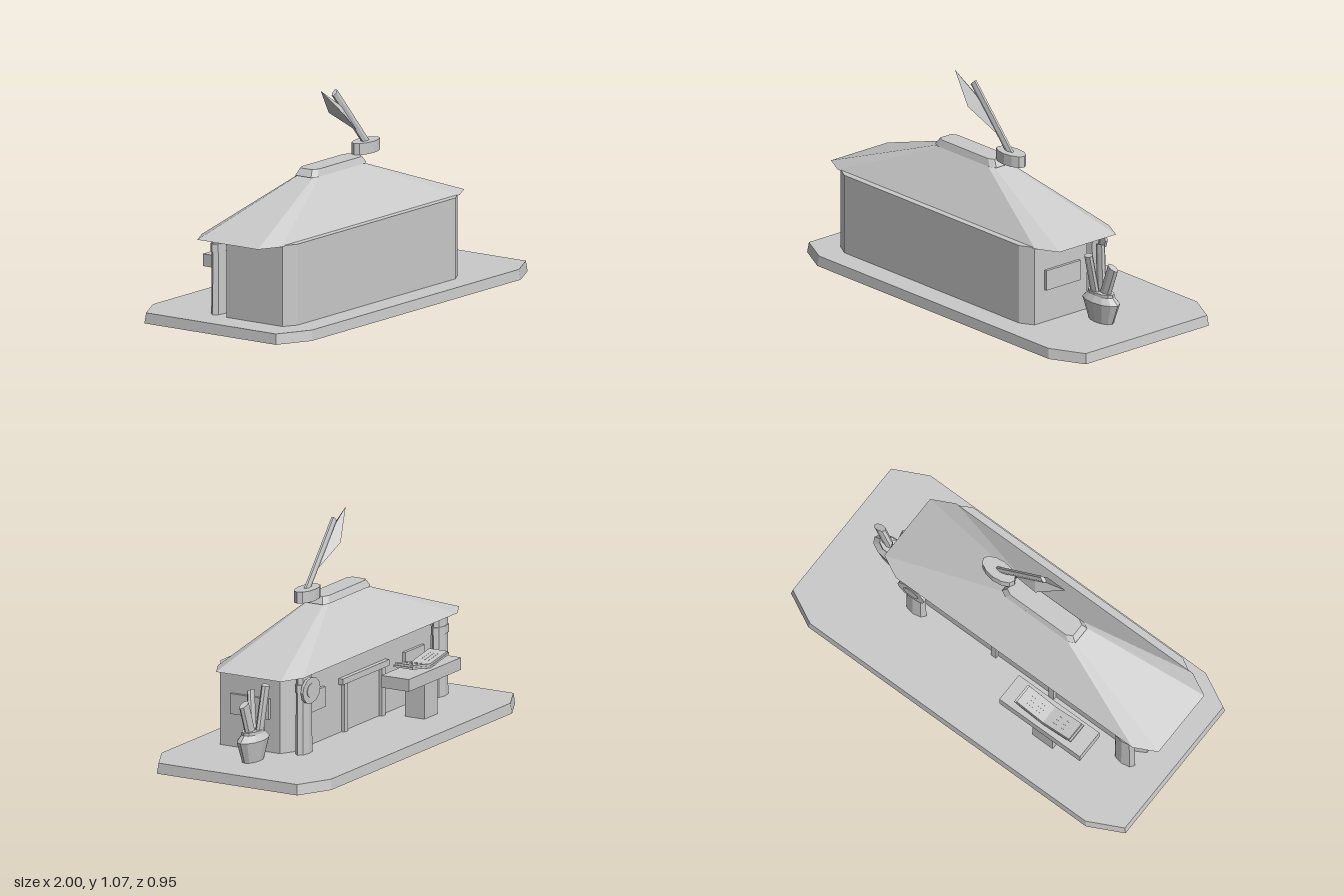
import * as THREE from 'three';

const stone = new THREE.MeshStandardMaterial({ color: 0xcacaca, flatShading: true, side: THREE.DoubleSide });
stone.name = 'light grey';

const SQUASH = 0.5; // round parts are flattened front to back

function add(parent, name, geometry, x = 0, y = 0, z = 0) {
  const mesh = new THREE.Mesh(geometry, stone);
  mesh.name = name;
  mesh.position.set(x, y, z);
  parent.add(mesh);
  return mesh;
}

// Box given by its limits on each axis
function box(parent, name, x0, x1, y0, y1, z0, z1) {
  return add(parent, name, new THREE.BoxGeometry(x1 - x0, y1 - y0, z1 - z0),
    (x0 + x1) / 2, (y0 + y1) / 2, (z0 + z1) / 2);
}

// Closed solid through rectangles with cut corners: [y, x0, x1, z0, z1, cutX, cutZ]
function loft(sections) {
  const pos = [], index = [];
  for (const [y, x0, x1, z0, z1, cx, cz] of sections) {
    pos.push(x0, y, z1 - cz, x0 + cx, y, z1, x1 - cx, y, z1, x1, y, z1 - cz,
      x1, y, z0 + cz, x1 - cx, y, z0, x0 + cx, y, z0, x0, y, z0 + cz);
  }
  for (let s = 0; s < sections.length - 1; s++) {
    for (let i = 0; i < 8; i++) {
      const a = s * 8 + i, b = s * 8 + (i + 1) % 8;
      index.push(a, b, b + 8, a, b + 8, a + 8);
    }
  }
  const top = (sections.length - 1) * 8;
  for (let i = 1; i < 7; i++) {
    index.push(0, i + 1, i, top, top + i, top + i + 1);
  }
  const g = new THREE.BufferGeometry();
  g.setAttribute('position', new THREE.Float32BufferAttribute(pos, 3));
  g.setIndex(index);
  g.computeVertexNormals();
  return g;
}

// Straight rod between two points
function rod(parent, name, from, to, radius, sides = 6) {
  const a = new THREE.Vector3(...from), b = new THREE.Vector3(...to);
  const dir = b.clone().sub(a);
  const mesh = add(parent, name, new THREE.CylinderGeometry(radius, radius, dir.length(), sides));
  mesh.position.copy(a.add(b).multiplyScalar(0.5));
  mesh.quaternion.setFromUnitVectors(new THREE.Vector3(0, 1, 0), dir.normalize());
  return mesh;
}

function squashedGroup(parent, name, x, y, z) {
  const g = new THREE.Group();
  g.name = name;
  g.position.set(x, y, z);
  g.scale.z = SQUASH;
  parent.add(g);
  return g;
}

export function createModel() {
  const model = new THREE.Group();
  model.name = 'house';

  // Ground slab, walls, hipped roof and ridge cap
  add(model, 'base', loft([
    [0, -1, 1, -0.476, 0.476, 0.17, 0.086],
    [0.051, -0.993, 0.993, -0.471, 0.471, 0.17, 0.086]]));
  add(model, 'walls', loft([
    [0.05, -0.845, 0.545, -0.057, 0.352, 0.068, 0.038],
    [0.445, -0.845, 0.545, -0.057, 0.352, 0.068, 0.038]]));
  add(model, 'roof', loft([
    [0.442, -0.973, 0.666, -0.153, 0.32, 0.112, 0.057],
    [0.668, -0.345, 0.037, 0.03, 0.142, 0.025, 0.014]]));
  add(model, 'ridgeCap', loft([
    [0.666, -0.374, 0.064, 0.021, 0.147, 0.03, 0.016],
    [0.7, -0.35, 0.041, 0.034, 0.136, 0.03, 0.016]]));

  // Roof ornament: disc, stalk and folded feather blade
  const well = squashedGroup(model, 'roofOrnamentBase', 0.121, 0.728, 0.087);
  add(well, 'disc', new THREE.CylinderGeometry(0.094, 0.094, 0.056, 12));
  const quill = squashedGroup(model, 'quill', 0, 0, 0.09);
  rod(quill, 'stalk', [0.125, 0.74, 0], [-0.14, 1.035, 0.01], 0.022);
  const feather = new THREE.BufferGeometry();
  feather.setAttribute('position', new THREE.Float32BufferAttribute([
    -0.262, 1.066, 0.105, // tip
    0.05, 0.81, 0.093, // foot
    -0.125, 0.928, 0.145, // front edge
    -0.125, 0.928, 0.05, // back edge
    -0.085, 0.958, 0.098, // upper ridge
    -0.12, 0.925, 0.098, // lower ridge
  ], 3));
  feather.setIndex([0, 2, 4, 2, 1, 4, 1, 3, 4, 3, 0, 4, 2, 0, 5, 1, 2, 5, 3, 1, 5, 0, 3, 5]);
  feather.computeVertexNormals();
  add(model, 'featherBlade', feather);

  // Window panels: one on the end wall, two on the back wall
  box(model, 'endWindow', 0.54, 0.56, 0.214, 0.314, 0.035, 0.25);
  for (const x of [0.305, -0.605]) {
    box(model, 'backWindow', x - 0.088, x + 0.088, 0.215, 0.315, -0.073, -0.05);
  }

  // Door frame
  for (const x of [0.03, -0.315]) {
    box(model, 'doorPost', x - 0.015, x + 0.015, 0.05, 0.295, -0.075, -0.05);
  }
  box(model, 'doorLintel', -0.36, 0.07, 0.288, 0.318, -0.08, -0.05);

  // Porch posts with collars
  for (const x of [0.468, -0.78]) {
    const post = squashedGroup(model, 'porchPost', x, 0, -0.105);
    add(post, 'shaft', new THREE.CylinderGeometry(0.056, 0.06, 0.4, 8), 0, 0.25, 0);
    add(post, 'collar', new THREE.CylinderGeometry(0.064, 0.064, 0.04, 8), 0, 0.375, 0);
  }

  // Round sign with a raised centre
  const sign = new THREE.Group();
  sign.name = 'roundSign';
  sign.position.set(0.468, 0.363, -0.141);
  sign.rotation.x = -Math.PI / 2;
  model.add(sign);
  add(sign, 'signPlate', new THREE.CylinderGeometry(0.08, 0.08, 0.014, 12)).scale.z = 0.8;
  add(sign, 'signCentre', new THREE.CylinderGeometry(0.044, 0.044, 0.02, 12)).scale.z = 0.8;

  // Reading stand with an open book
  box(model, 'standPedestal', -0.477, -0.357, 0.05, 0.235, -0.275, -0.168);
  box(model, 'standTop', -0.657, -0.176, 0.23, 0.29, -0.298, -0.145);
  for (const s of [-1, 1]) {
    const page = new THREE.Group();
    page.name = 'bookHalf';
    page.position.set(-0.416, 0.29, -0.222);
    page.rotation.z = s * 0.17;
    model.add(page);
    box(page, 'cover', Math.min(0, s * 0.172), Math.max(0, s * 0.172), 0, 0.01, -0.053, 0.053);
    box(page, 'pages', Math.min(0, s * 0.162), Math.max(0, s * 0.162), 0.01, 0.02, -0.05, 0.05);
    for (const z of [-0.022, 0, 0.022]) {
      box(page, 'pageLine', s * 0.08 - 0.045, s * 0.08 + 0.045, 0.019, 0.021, z - 0.002, z + 0.002);
    }
  }

  // Pot holding three rolled scrolls
  const pot = squashedGroup(model, 'pot', 0.706, 0, 0.033);
  const profile = [[0, 0.05], [0.078, 0.05], [0.118, 0.155], [0.082, 0.185], [0.082, 0.2], [0, 0.2]];
  add(pot, 'potBody', new THREE.LatheGeometry(profile.map(([r, y]) => new THREE.Vector2(r, y)), 12));
  rod(pot, 'scroll', [-0.02, 0.17, -0.04], [-0.05, 0.412, -0.078], 0.03, 8);
  rod(pot, 'scroll', [-0.02, 0.17, 0.03], [-0.045, 0.378, 0.082], 0.028, 8);
  rod(pot, 'scroll', [0.02, 0.17, 0], [0.085, 0.34, 0], 0.035, 8);

  return model;
}
